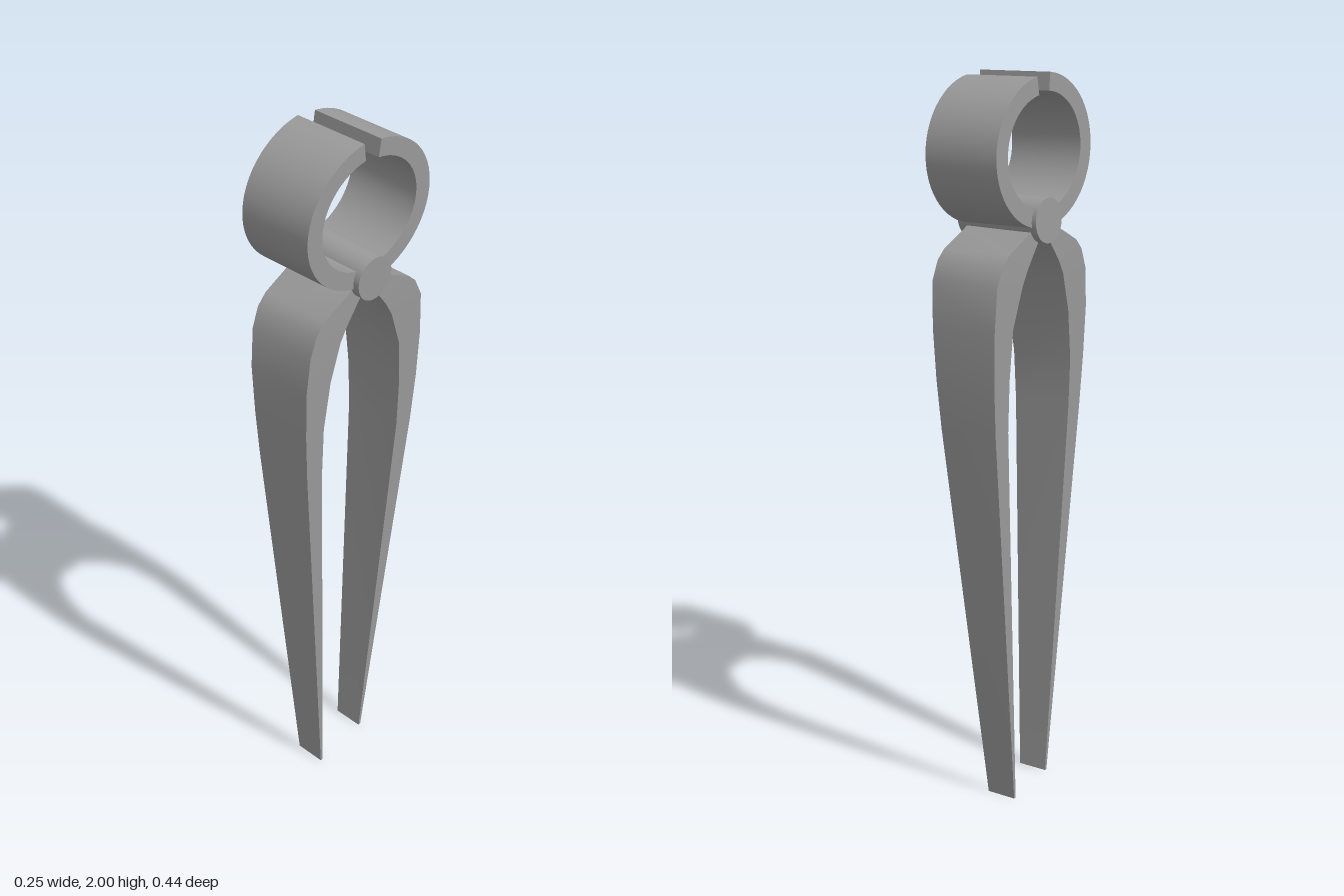
import * as THREE from 'three';
import { toCreasedNormals } from 'three/addons/utils/BufferGeometryUtils.js';

const material = new THREE.MeshStandardMaterial({ color: 0x9a9a9a });
const TILT = -0.03; // slight twist of every part across its width

// Solid bar lofted through sections { inner: [z, y], outer: [z, y], half, cx }
function loftBar(sections, side) {
  const positions = [], indices = [];
  for (const { inner, outer, half, cx } of sections) {
    for (const [sx, [z, y]] of [[-1, inner], [1, inner], [1, outer], [-1, outer]]) {
      const x = sx * half;
      positions.push(cx(z, y) + x, y + TILT * x, z + TILT * x);
    }
  }
  const quad = (a, b, c, d) => {
    if (side > 0) indices.push(a, b, c, a, c, d);
    else indices.push(a, c, b, a, d, c);
  };
  const last = (sections.length - 1) * 4;
  for (let i = 0; i < last; i += 4) {
    for (let j = 0; j < 4; j++) {
      const k = (j + 1) % 4;
      quad(i + j, i + k, i + 4 + k, i + 4 + j);
    }
  }
  quad(3, 2, 1, 0);
  quad(last, last + 1, last + 2, last + 3);
  const geometry = new THREE.BufferGeometry();
  geometry.setAttribute('position', new THREE.Float32BufferAttribute(positions, 3));
  geometry.setIndex(indices);
  return toCreasedNormals(geometry, 1);
}

// Curved gripping jaw, from its tip round to the pivot
function jaw(side, top) {
  const sections = [], steps = 28;
  for (let i = 0; i <= steps; i++) {
    const a = THREE.MathUtils.lerp(1.435, -1.57, i / steps);
    const c = Math.cos(a) * side, s = Math.sin(a);
    const cy = (top + 1.61) / 2, ry = (top - 1.61) / 2;
    sections.push({
      inner: [0.002 + 0.168 * c, cy + (ry - 0.046) * s],
      outer: [0.002 + 0.218 * c, cy + ry * s],
      half: 0.106,
      cx: (z, y) => 0.03 * (y - 1.6) + 0.03 * z - 0.003,
    });
  }
  return loftBar(sections, side);
}

// Handle profile rows: inner z, inner y, outer z, outer y
const frontRows = [
  [-0.02, 1.61, 0.0, 1.65], [0.02, 1.575, 0.055, 1.605], [0.05, 1.535, 0.145, 1.557],
  [0.065, 1.515, 0.172, 1.528], [0.088, 1.475, 0.193, 1.475], [0.12, 1.37, 0.205, 1.37],
  [0.14, 1.235, 0.203, 1.235], [0.142, 1.1, 0.196, 1.1], [0.107, 0.004, 0.114, 0.004],
];
const backRows = [
  [0.01, 1.61, -0.01, 1.65], [-0.03, 1.575, -0.06, 1.607], [-0.06, 1.535, -0.155, 1.564],
  [-0.075, 1.515, -0.182, 1.54], [-0.098, 1.475, -0.207, 1.49], [-0.135, 1.37, -0.215, 1.37],
  [-0.146, 1.235, -0.212, 1.235], [-0.147, 1.1, -0.202, 1.1], [-0.072, 0.004, -0.079, 0.004],
];

// Tapering handle, from the pivot down to its thin end
function handle(rows, side, drift) {
  const sections = rows.map(([iz, iy, oz, oy]) => ({
    inner: [iz, iy],
    outer: [oz, oy],
    half: 0.043 + 0.057 * Math.min(1, (iy + oy) / 2 / 1.5),
    cx: (z, y) => drift * (1 - y / 1.6) - 0.004,
  }));
  return loftBar(sections, side);
}

export function createModel() {
  const group = new THREE.Group();
  const add = (name, geometry) => {
    const mesh = new THREE.Mesh(geometry, material);
    mesh.name = name;
    group.add(mesh);
    return mesh;
  };

  add('frontJaw', jaw(1, 1.997));
  add('backJaw', jaw(-1, 1.99));
  add('frontHandle', handle(frontRows, 1, 0.003));
  add('backHandle', handle(backRows, -1, -0.02));

  // Pivot pin through both halves, slightly tilted
  const pin = add('pivotPin', toCreasedNormals(new THREE.CylinderGeometry(0.058, 0.058, 0.246, 32), 0.6));
  pin.rotation.z = Math.PI / 2 - 0.035;
  pin.position.set(0, 1.63, -0.006);

  return group;
}
